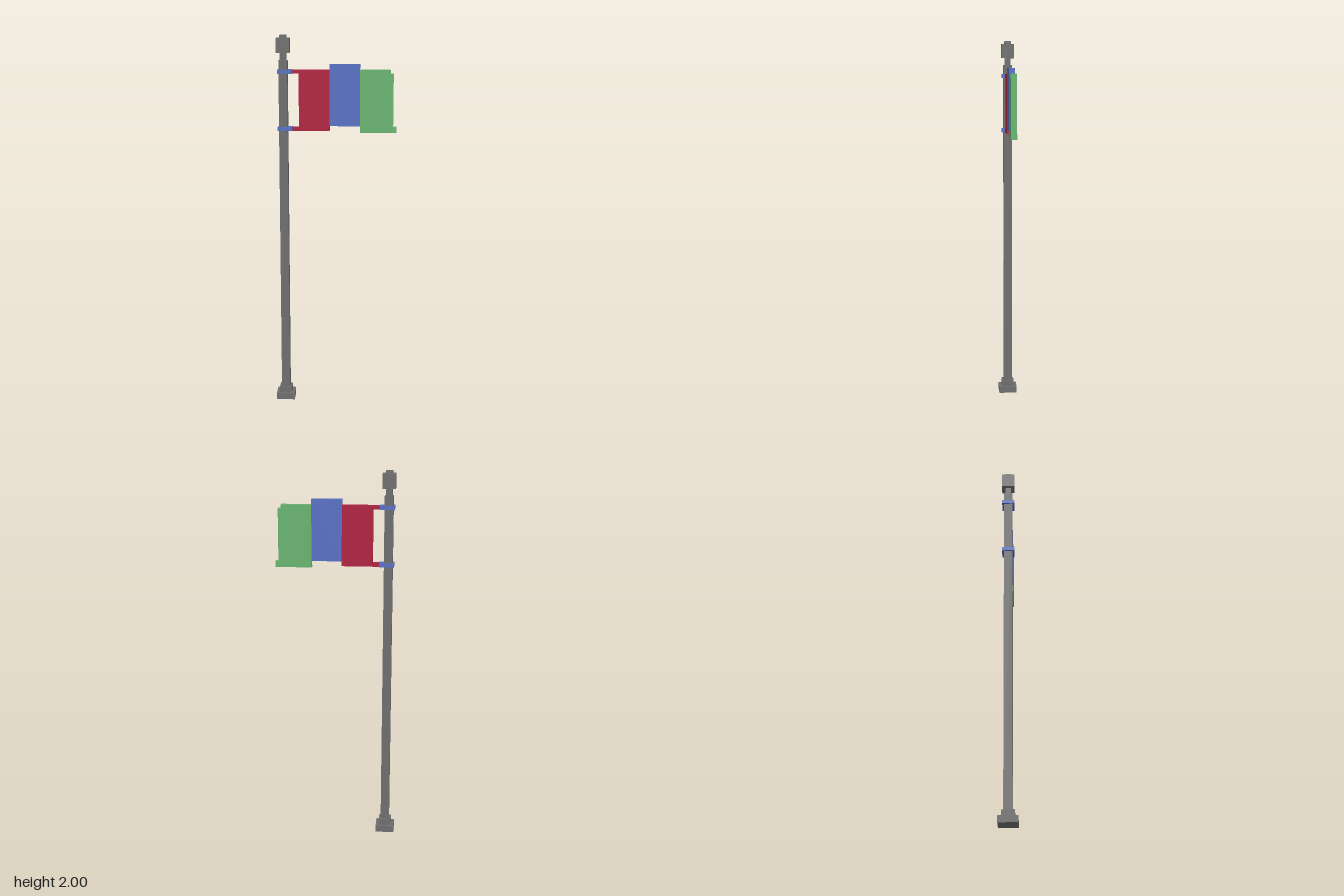
import * as THREE from 'three';

const material = (color) => new THREE.MeshStandardMaterial({ color, flatShading: true });

export function createModel() {
  const model = new THREE.Group();
  model.name = 'flagpole';
  const grey = material(0x6e6e6e);
  const red = material(0xb02040);
  const blue = material(0x5870c4);
  const green = material(0x68b470);
  const poleX = -0.275;

  // Square block centred on the pole axis
  const poleBlock = (name, width, y0, y1) => {
    const mesh = new THREE.Mesh(new THREE.BoxGeometry(width, y1 - y0, width), grey);
    mesh.position.set(poleX, (y0 + y1) / 2, 0);
    mesh.name = name;
    model.add(mesh);
  };
  poleBlock('basePlate', 0.1, 0, 0.035);
  poleBlock('baseStep', 0.067, 0.035, 0.068);
  poleBlock('pole', 0.046, 0.068, 1.87);
  poleBlock('neck', 0.033, 1.87, 1.908);
  poleBlock('finial', 0.069, 1.908, 1.985);
  poleBlock('finialCap', 0.036, 1.985, 2);

  // Brackets holding the flag to the pole
  for (const [name, y] of [['upperBracket', 1.81], ['lowerBracket', 1.51]]) {
    const bracket = new THREE.Mesh(new THREE.BoxGeometry(0.077, 0.021, 0.066), blue);
    bracket.position.set(-0.2665, y, 0);
    bracket.name = name;
    model.add(bracket);
  }

  // Flag panels: outlines extruded to the cloth thickness
  const panel = (name, mat, outline) => {
    const shape = new THREE.Shape(outline.map(([x, y]) => new THREE.Vector2(x, y)));
    const geometry = new THREE.ExtrudeGeometry(shape, { depth: 0.032, bevelEnabled: false });
    geometry.translate(0, 0, -0.016);
    const mesh = new THREE.Mesh(geometry, mat);
    mesh.name = name;
    model.add(mesh);
  };
  // Inner panel with two arms reaching the brackets
  panel('innerPanel', red, [
    [-0.23, 1.5], [-0.03, 1.5], [-0.03, 1.82], [-0.23, 1.82],
    [-0.23, 1.8], [-0.193, 1.8], [-0.193, 1.52], [-0.23, 1.52],
  ]);
  panel('middlePanel', blue, [[-0.03, 1.525], [0.13, 1.525], [0.13, 1.85], [-0.03, 1.85]]);
  // Outer panel with a stepped free edge
  panel('outerPanel', green, [
    [0.13, 1.49], [0.323, 1.49], [0.323, 1.52], [0.306, 1.52],
    [0.306, 1.8], [0.29, 1.8], [0.29, 1.82], [0.13, 1.82],
  ]);
  return model;
}
